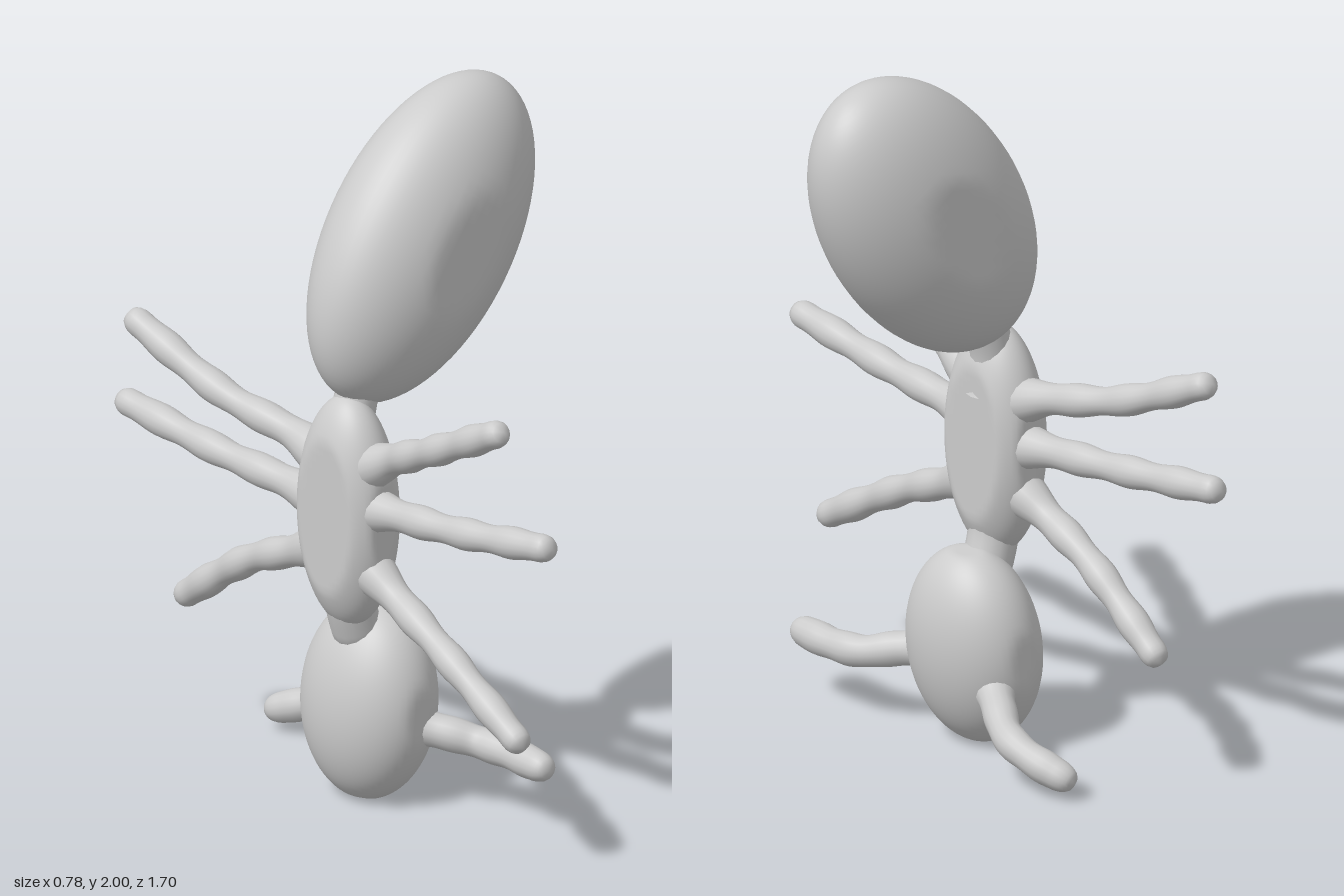
import * as THREE from 'three';
import { mergeVertices } from 'three/addons/utils/BufferGeometryUtils.js';

const material = new THREE.MeshStandardMaterial({ color: 0xcccccc });

// Weld seams and smooth the normals
function smooth(geometry) {
  geometry.deleteAttribute('uv');
  geometry.deleteAttribute('normal');
  const g = mergeVertices(geometry, 1e-5);
  g.computeVertexNormals();
  return g;
}

// Ellipsoid whose sides are pressed flat at the given half sizes
function body(name, radii, limits, position, tilt) {
  const g = new THREE.SphereGeometry(1, 56, 40);
  const p = g.attributes.position;
  const squash = (v, r, m) => THREE.MathUtils.clamp(v * r, -m, m);
  for (let i = 0; i < p.count; i++) {
    p.setXYZ(i,
      squash(p.getX(i), radii[0], limits[0]),
      squash(p.getY(i), radii[1], limits[1]),
      squash(p.getZ(i), radii[2], limits[2]));
  }
  const mesh = new THREE.Mesh(smooth(g), material);
  mesh.name = name;
  mesh.position.set(...position);
  mesh.rotation.z = tilt;
  return mesh;
}

// Round-tipped limb: flared root, gentle knuckles along its length
function limb(name, points, radius, flare = 0.6, knuckle = 0.08) {
  const curve = new THREE.CatmullRomCurve3(points.map(q => new THREE.Vector3(...q)));
  const rings = 60, sides = 16;
  const g = new THREE.TubeGeometry(curve, rings, radius, sides);
  const p = g.attributes.position;
  const v = new THREE.Vector3();
  const length = curve.getLength();
  for (let i = 0; i <= rings; i++) {
    const t = i / rings;
    const c = curve.getPointAt(t);
    const toTip = Math.min(1, (1 - t) * length / (radius * 1.3));
    const round = Math.sqrt(Math.max(0, 1 - (1 - toTip) ** 2));
    const f = round * (1 + flare * Math.exp(-t * 9) + knuckle * Math.sin(t * 26));
    for (let j = 0; j <= sides; j++) {
      const k = i * (sides + 1) + j;
      v.fromBufferAttribute(p, k).sub(c).multiplyScalar(f).add(c);
      p.setXYZ(k, v.x, v.y, v.z);
    }
  }
  const mesh = new THREE.Mesh(smooth(g), material);
  mesh.name = name;
  return mesh;
}

export function createModel() {
  const ant = new THREE.Group();
  ant.name = 'ant';

  // Three body segments
  ant.add(body('abdomen', [0.299, 0.486, 0.212], [1, 1, 0.195], [0.015, 1.57, 0.015], -0.63));
  ant.add(body('thorax', [0.12, 0.335, 0.16], [0.09, 1, 0.145], [-0.262, 0.85, 0.025], 0));
  ant.add(body('head', [0.162, 0.285, 0.212], [1, 0.275, 0.203], [-0.175, 0.275, 0.015], -0.1));

  // Narrow joints between the segments
  ant.add(limb('waist', [[-0.25, 1.0, 0.02], [-0.235, 1.12, 0.015], [-0.19, 1.28, 0.015]], 0.06, 0.4, 0));
  ant.add(limb('neck', [[-0.262, 0.7, 0.025], [-0.25, 0.58, 0.02], [-0.2, 0.42, 0.015]], 0.07, 0.3, 0));

  // Legs: [name, root y, mid y, tip x, tip y, tip z]
  const legs = [
    ['hindLegLeft', 1.0, 1.15, -0.36, 1.32, 0.75],
    ['middleLegLeft', 0.88, 0.92, -0.27, 0.98, 0.85],
    ['frontLegLeft', 0.71, 0.57, -0.31, 0.385, 0.78],
    ['hindLegRight', 0.98, 1.07, -0.34, 1.21, -0.77],
    ['middleLegRight', 0.85, 0.885, -0.3, 0.93, -0.85],
    ['frontLegRight', 0.72, 0.59, -0.25, 0.385, -0.66],
  ];
  for (const [name, rootY, midY, x, y, z] of legs) {
    const side = Math.sign(z);
    ant.add(limb(name, [
      [-0.265, rootY, 0.02 + side * 0.09],
      [-0.27, rootY + (midY - rootY) * 0.35, 0.02 + side * 0.19],
      [(x - 0.275) / 2, midY, z * 0.55],
      [x, y, z],
    ], 0.042));
  }

  // Feelers curving forward off the head
  ant.add(limb('feelerLeft', [
    [-0.16, 0.23, 0.13], [-0.1, 0.215, 0.23], [-0.045, 0.195, 0.32],
    [-0.03, 0.19, 0.42], [-0.04, 0.19, 0.59],
  ], 0.045, 0.6, 0.04));
  ant.add(limb('feelerRight', [
    [-0.14, 0.2, -0.1], [-0.08, 0.165, -0.19], [-0.025, 0.125, -0.29],
    [-0.02, 0.095, -0.38], [-0.06, 0.045, -0.52],
  ], 0.045, 0.6, 0.04));

  return ant;
}
